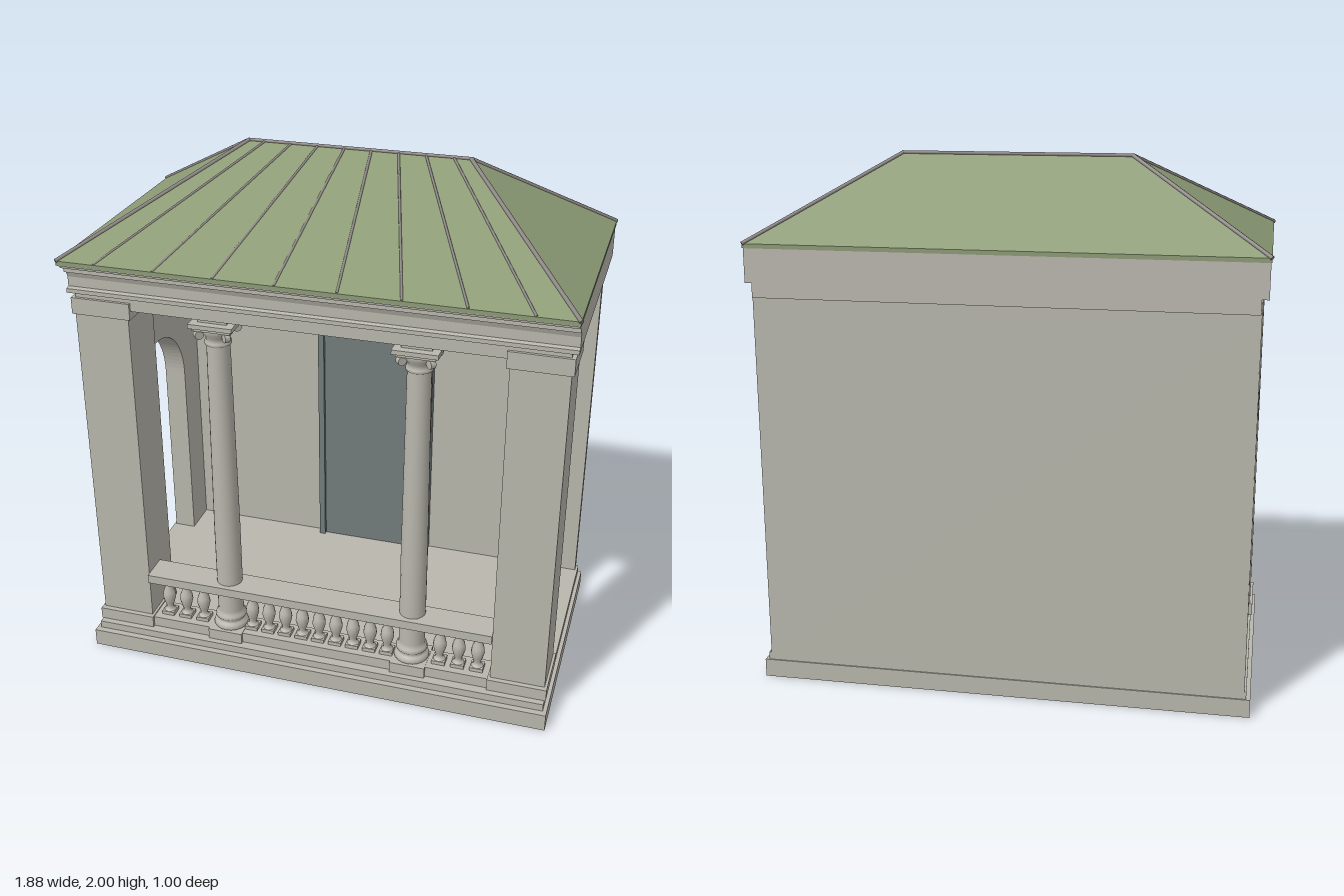
import * as THREE from 'three';

const mat = (name, color) => {
  const m = new THREE.MeshStandardMaterial({ color });
  m.name = name;
  return m;
};

export function createModel() {
  const stone = mat('stone', 0xb9b7ad);
  const green = mat('roofGreen', 0x8c9b75);
  const metal = mat('roofSeam', 0x8a8482);
  const doorGrey = mat('doorGrey', 0x727b7b);

  const root = new THREE.Group();
  const model = new THREE.Group();
  model.name = 'loggia';
  model.position.x = -0.004;
  root.add(model);

  const add = (name, geo, material = stone, parent = model) => {
    const m = new THREE.Mesh(geo, material);
    m.name = name;
    parent.add(m);
    return m;
  };
  // Box given by its limits on each axis
  const box = (name, x0, x1, y0, y1, z0, z1, material = stone, parent = model) => {
    const g = new THREE.BoxGeometry(x1 - x0, y1 - y0, z1 - z0);
    g.translate((x0 + x1) / 2, (y0 + y1) / 2, (z0 + z1) / 2);
    return add(name, g, material, parent);
  };
  const lathe = (pts, sides) =>
    new THREE.LatheGeometry(pts.map(([r, y]) => new THREE.Vector2(r, y)), sides);
  // Shape drawn in (z, y), extruded along x between x0 and x1
  const extrudeX = (shape, x0, x1) => {
    const g = new THREE.ExtrudeGeometry(shape, { depth: x1 - x0, bevelEnabled: false, curveSegments: 20 });
    g.rotateY(-Math.PI / 2);
    g.translate(x1, 0, 0);
    return g;
  };

  // Stepped floor
  box('plinth', -0.93, 0.93, 0, 0.07, -0.49, 0.5);
  box('floor', -0.915, 0.915, 0.07, 0.1, -0.485, 0.475);

  // Back wall
  box('backWall', -0.905, 0.905, 0.1, 1.5, -0.487, -0.45);

  // Door: frame with a recessed panel
  const frame = new THREE.Shape();
  frame.moveTo(-0.25, 0.1).lineTo(-0.225, 0.1).lineTo(-0.225, 1.133).lineTo(0.225, 1.133)
    .lineTo(0.225, 0.1).lineTo(0.25, 0.1).lineTo(0.25, 1.15).lineTo(-0.25, 1.15);
  const frameGeo = new THREE.ExtrudeGeometry(frame, { depth: 0.036, bevelEnabled: false });
  frameGeo.translate(0, 0, -0.45);
  add('doorFrame', frameGeo, doorGrey);
  box('doorPanel', -0.225, 0.225, 0.1, 1.133, -0.45, -0.43, doorGrey);

  // Arched wall closing one end; the other end is open
  const wall = new THREE.Shape();
  wall.moveTo(-0.485, 0.1).lineTo(-0.3, 0.1).lineTo(-0.3, 0.885);
  wall.absarc(-0.04, 0.885, 0.26, Math.PI, 0, true);
  wall.lineTo(0.22, 0.1).lineTo(0.225, 0.1).lineTo(0.225, 1.5).lineTo(-0.485, 1.5);
  add('archedWall', extrudeX(wall, -0.908, -0.82));

  // Corner pillars
  for (const s of [-1, 1]) {
    const pillar = new THREE.Group();
    pillar.name = s < 0 ? 'rightPillar' : 'leftPillar';
    pillar.position.set(s * 0.805, 0, 0.325);
    model.add(pillar);
    box('pillarBase', -0.115, 0.115, 0.1, 0.148, -0.112, 0.125, stone, pillar);
    box('pillarShaft', -0.105, 0.105, 0.148, 1.5, -0.105, 0.105, stone, pillar);
    box('pillarCapital', -0.115, 0.115, 1.463, 1.527, -0.105, 0.113, stone, pillar);
  }

  // Round columns
  const shaftPts = [[0, 0.14], [0.066, 0.14], [0.07, 0.152], [0.066, 0.166], [0.058, 0.17],
    [0.056, 0.18], [0.062, 0.187], [0.06, 0.2], [0.053, 0.205], [0.051, 0.22], [0.051, 0.6],
    [0.044, 1.385], [0.05, 1.39], [0.05, 1.4], [0.045, 1.404], [0.046, 1.42], [0.062, 1.44], [0.064, 1.462], [0, 1.462]];
  for (const s of [-1, 1]) {
    const column = new THREE.Group();
    column.name = s < 0 ? 'rightColumn' : 'leftColumn';
    column.position.set(s * 0.376, 0, 0.372);
    model.add(column);
    box('columnPlinth', -0.07, 0.07, 0.1, 0.145, -0.07, 0.08, stone, column);
    add('columnShaft', lathe(shaftPts, 20), stone, column);
    box('abacusLower', -0.072, 0.072, 1.455, 1.468, -0.068, 0.068, stone, column);
    box('abacus', -0.084, 0.084, 1.468, 1.485, -0.08, 0.08, stone, column);
    box('columnBlock', -0.055, 0.055, 1.485, 1.5, -0.05, 0.05, stone, column);
    // Corner scrolls under the abacus
    for (let i = 0; i < 4; i++) {
      const a = Math.PI / 4 + i * Math.PI / 2;
      const g = new THREE.CylinderGeometry(0.018, 0.018, 0.02, 12);
      g.rotateX(Math.PI / 2);
      g.translate(0.075, 1.438, 0);
      g.rotateY(a);
      add('scroll', g, stone, column);
    }
  }

  // Balustrade
  box('balustradeBase', -0.7, 0.7, 0.1, 0.143, 0.325, 0.438);
  box('handrail', -0.7, 0.7, 0.312, 0.348, 0.325, 0.443);
  const balusterPts = [[0.024, 0.158], [0.015, 0.166], [0.014, 0.178], [0.02, 0.195], [0.027, 0.222],
    [0.024, 0.245], [0.015, 0.268], [0.014, 0.284], [0.022, 0.292], [0.022, 0.298]];
  const balusterGeo = lathe(balusterPts, 12);
  const xs = [];
  for (let i = 0; i < 9; i++) xs.push((i - 4) * 0.07);
  for (const s of [-1, 1]) for (let i = 0; i < 3; i++) xs.push(s * (0.49 + i * 0.075));
  for (const x of xs) {
    const b = new THREE.Group();
    b.name = 'baluster';
    b.position.set(x, 0, 0.383);
    model.add(b);
    add('balusterBody', balusterGeo, stone, b);
    box('balusterFoot', -0.026, 0.026, 0.143, 0.158, -0.026, 0.026, stone, b);
    box('balusterHead', -0.024, 0.024, 0.298, 0.312, -0.024, 0.024, stone, b);
  }

  // Entablature: beam with a moulded cornice on the front
  box('architrave', -0.905, 0.905, 1.495, 1.548, -0.492, 0.427);
  const cornice = new THREE.Shape();
  cornice.moveTo(-0.492, 1.548);
  for (const [z, y] of [[0.445, 1.548], [0.445, 1.564], [0.427, 1.568], [0.427, 1.605], [0.435, 1.625],
    [0.45, 1.63], [0.45, 1.645], [0.475, 1.655], [0.478, 1.668], [0.495, 1.67], [0.495, 1.675], [-0.492, 1.675]]) cornice.lineTo(z, y);
  add('cornice', extrudeX(cornice, -0.93, 0.93));

  // Hipped roof
  box('eave', -0.933, 0.933, 1.674, 1.69, -0.494, 0.498, green);
  const A = [-0.933, 1.69, 0.498], B = [0.933, 1.69, 0.498], C = [0.933, 1.69, -0.494],
    D = [-0.933, 1.69, -0.494], E = [-0.425, 1.993, -0.145], F = [0.425, 1.993, -0.145];
  const roof = new THREE.BufferGeometry();
  roof.setAttribute('position', new THREE.Float32BufferAttribute(
    [A, B, F, A, F, E, B, C, F, C, D, E, C, E, F, D, A, E].flat(), 3));
  roof.computeVertexNormals();
  add('roof', roof, green);

  // Seams along the ridge, the hips and the front slope
  const seam = (name, p, q, r) => {
    const a = new THREE.Vector3(...p), b = new THREE.Vector3(...q);
    const m = add(name, new THREE.CylinderGeometry(r, r, a.distanceTo(b), 8), metal);
    m.position.copy(a).add(b).multiplyScalar(0.5);
    m.quaternion.setFromUnitVectors(new THREE.Vector3(0, 1, 0), b.sub(a).normalize());
  };
  seam('ridge', E, F, 0.007);
  for (const [p, q] of [[A, E], [B, F], [C, F], [D, E]]) seam('hip', p, q, 0.008);
  for (let i = 0; i < 8; i++) {
    const k = i - 3.5;
    seam('roofSeam', [k * 0.225, 1.69, 0.495], [k * 0.103, 1.993, -0.145], 0.005);
  }
  return root;
}
